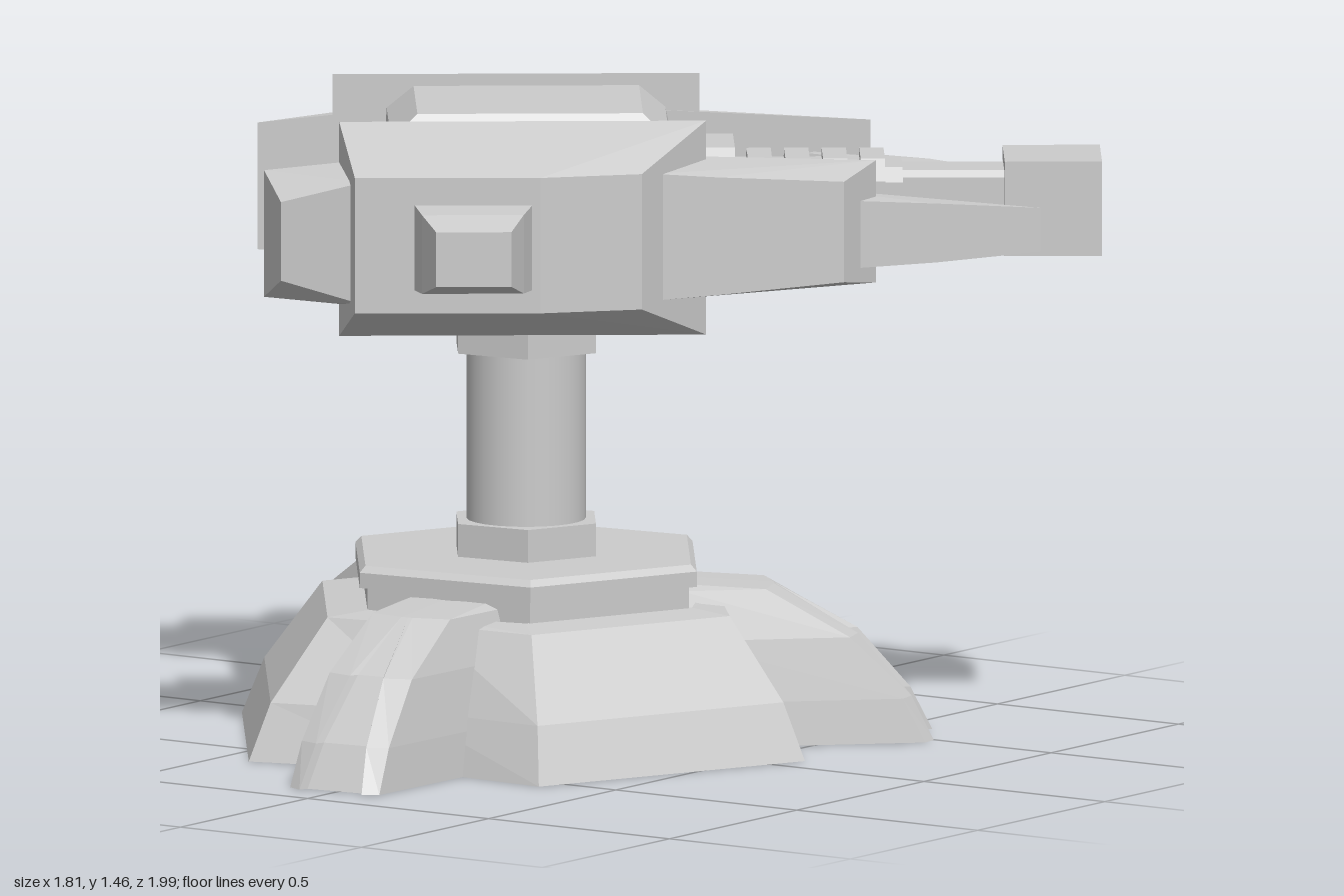
import * as THREE from 'three';
import { ConvexGeometry } from 'three/addons/geometries/ConvexGeometry.js';

const grey = new THREE.MeshStandardMaterial({ color: 0xcccccc, flatShading: true });
const smooth = new THREE.MeshStandardMaterial({ color: 0xcccccc });
const shellMat = new THREE.MeshStandardMaterial({ color: 0xcccccc, flatShading: true, side: THREE.DoubleSide });

function add(parent, name, geo, mat = grey) {
  const m = new THREE.Mesh(geo, mat);
  m.name = name;
  parent.add(m);
  return m;
}

// Convex solid from a few corner points
const hull = (pts) => new ConvexGeometry(pts.map((p) => new THREE.Vector3(...p)));

// Open sheet joining rows of points
function sheet(rows) {
  const n = rows[0].length, idx = [];
  for (let i = 0; i < rows.length - 1; i++)
    for (let j = 0; j < n - 1; j++) {
      const a = i * n + j, b = a + n;
      idx.push(a, a + 1, b, b, a + 1, b + 1);
    }
  const g = new THREE.BufferGeometry();
  g.setAttribute('position', new THREE.Float32BufferAttribute(rows.flat(2), 3));
  g.setIndex(idx);
  const flat = g.toNonIndexed();
  flat.computeVertexNormals();
  return flat;
}

// Plan outline points [x, z, yLow, yHigh] turned into vertical pairs
const pillars = (list) => list.flatMap(([x, z, lo, hi]) => [[x, lo, z], [x, hi, z]]);

// Block with chamfered long edges, running along z
function chamferBlock(w, h, c, z0, z1, y) {
  const pts = [];
  for (const z of [z0, z1])
    for (const sx of [-1, 1])
      for (const sy of [-1, 1])
        pts.push([sx * w, y + sy * (h - c), z], [sx * (w - c), y + sy * h, z]);
  return hull(pts);
}

function hexDrum(parent, name, rTop, rBottom, y0, y1) {
  const g = new THREE.CylinderGeometry(rTop, rBottom, y1 - y0, 6);
  g.rotateY(Math.PI / 6).translate(0, (y0 + y1) / 2, 0);
  return add(parent, name, g);
}

function buildBase() {
  const base = new THREE.Group();
  base.name = 'base';

  // Panel rows: y, face half width, face radius, flank half width, flank radius
  const panel = sheet([
    [0, 0.352, 0.635, 0.495, 0.25],
    [0.13, 0.325, 0.585, 0.465, 0.23],
    [0.315, 0.262, 0.455, 0.39, 0.2],
    [0.325, 0.22, 0.36, 0.35, 0.19],
  ].map(([y, w, r, fw, fr]) => [[-fw, y, fr], [-w, y, r], [w, y, r], [fw, y, fr]]));

  // Leg rows: radius, y, half width, groove half width; deep side walls run in to the panels
  const leg = sheet([
    [0.92, 0, 0.115, 0.07],
    [0.87, 0.1, 0.112, 0.055],
    [0.75, 0.24, 0.106, 0.033],
    [0.56, 0.35, 0.1, 0.004],
    [0.37, 0.362, 0.095, 0.002],
  ].map(([r, y, w, g], i) => {
    const d = i < 3 ? 0.02 : 0;
    const half = [[w + 0.13 * (r - 0.35), y, 0.35], [w, y, r - 0.02], [g + 0.01, y, r], [g, y, r - d]];
    return [...half.map(([x, yy, z]) => [-x, yy, z]), ...half.reverse()];
  }));

  for (let k = 0; k < 3; k++) {
    const a = (k * 2 * Math.PI) / 3;
    add(base, 'leg', leg, shellMat).rotation.y = a;
    add(base, 'basePanel', panel, shellMat).rotation.y = a + Math.PI / 3;
  }

  // Stacked hexagonal plates and the post
  hexDrum(base, 'lowerPlate', 0.42, 0.42, 0.315, 0.385);
  hexDrum(base, 'rimPlate', 0.44, 0.44, 0.375, 0.41);
  hexDrum(base, 'topPlate', 0.425, 0.44, 0.41, 0.425);
  hexDrum(base, 'lowerCollar', 0.18, 0.18, 0.42, 0.5);
  hexDrum(base, 'upperCollar', 0.18, 0.18, 0.89, 1.02);
  add(base, 'post', new THREE.CylinderGeometry(0.135, 0.135, 0.5, 24).translate(0, 0.7, 0), smooth);
  return base;
}

function buildGun() {
  const gun = new THREE.Group();
  gun.name = 'gun';

  // Central housing with chamfered top and bottom
  const pts = [];
  for (const [y, w, back, front] of [[1.455, 0.2, -0.25, 0.26], [1.4, 0.235, -0.31, 0.32],
    [1.22, 0.25, -0.32, 0.36], [1.03, 0.235, -0.31, 0.33], [0.98, 0.2, -0.26, 0.27]])
    for (const s of [-1, 1]) pts.push([s * w, y, back], [s * w, y, front]);
  add(gun, 'housing', hull(pts));
  add(gun, 'neck', chamferBlock(0.16, 0.15, 0.06, 0.3, 0.47, 1.21));
  add(gun, 'barrelBody', chamferBlock(0.11, 0.1, 0.03, 0.45, 0.85, 1.21));
  for (let i = 0; i < 4; i++) {
    const z = 0.5 + i * 0.085;
    add(gun, 'barrelRib', chamferBlock(0.125, 0.12, 0.045, z, z + 0.055, 1.21));
  }
  add(gun, 'barrelUnderside', new THREE.BoxGeometry(0.2, 0.06, 0.42).translate(0, 1.12, 0.64));
  add(gun, 'barrel', chamferBlock(0.075, 0.08, 0.015, 0.84, 1.1, 1.22));

  // Hollow muzzle
  const rect = (w, h, T) => new T([[-w, -h], [w, -h], [w, h], [-w, h]].map((p) => new THREE.Vector2(...p)));
  const frame = rect(0.12, 0.108, THREE.Shape);
  frame.holes.push(rect(0.09, 0.08, THREE.Path));
  add(gun, 'muzzle', new THREE.ExtrudeGeometry(frame, { depth: 0.22, bevelEnabled: false }).translate(0, 1.22, 1.08));
  add(gun, 'muzzleFloor', new THREE.BoxGeometry(0.19, 0.17, 0.1).translate(0, 1.22, 1.14));
  return gun;
}

// One side armour pod, s = +1 left, -1 right
function buildPod(s) {
  const pod = new THREE.Group();
  pod.name = s > 0 ? 'leftPod' : 'rightPod';
  const solid = (name, list) => add(pod, name, hull(pillars(list.map(([x, ...r]) => [s * x, ...r]))));

  solid('podBody', [
    [0.34, -0.43, 0.97, 1.46], [0.34, 0.4, 0.97, 1.46],
    [0.58, -0.4, 1.06, 1.37], [0.59, 0.02, 1.06, 1.37], [0.54, 0.25, 1.06, 1.37],
  ]);
  solid('podRearBlock', [
    [0.34, -0.4, 1.04, 1.37], [0.52, -0.38, 1.07, 1.35],
    [0.34, -0.6, 1.06, 1.35], [0.485, -0.565, 1.12, 1.3],
  ]);
  solid('podSideStub', [
    [0.55, -0.27, 1.11, 1.31], [0.55, 0.01, 1.11, 1.31],
    [0.68, -0.25, 1.12, 1.3], [0.68, -0.02, 1.12, 1.3],
    [0.77, -0.22, 1.15, 1.275], [0.77, -0.05, 1.15, 1.275],
  ]);
  solid('podForePlate', [
    [0.33, 0.25, 1.06, 1.38], [0.475, 0.28, 1.07, 1.36],
    [0.29, 0.785, 1.08, 1.36], [0.41, 0.71, 1.1, 1.33], [0.465, 0.42, 1.08, 1.35],
  ]);
  solid('podBlade', [
    [0.25, 0.64, 1.12, 1.29], [0.36, 0.68, 1.12, 1.28],
    [0.32, 0.92, 1.13, 1.265], [0.232, 1.16, 1.14, 1.24],
  ]);

  // Axle and bracket joining the pod to the housing
  const axle = new THREE.CylinderGeometry(0.07, 0.07, 0.16, 8).rotateZ(Math.PI / 2);
  add(pod, 'podAxle', axle.translate(s * 0.29, 1.21, 0));
  add(pod, 'podBracket', new THREE.BoxGeometry(0.05, 0.22, 0.3).translate(s * 0.325, 1.21, 0));
  return pod;
}

export function createModel() {
  const head = new THREE.Group();
  head.name = 'head';
  head.add(buildGun(), buildPod(1), buildPod(-1));
  head.position.x = 0.012;

  // The whole turret is turned toward its left
  const turret = new THREE.Group();
  turret.name = 'turret';
  turret.add(buildBase(), head);
  turret.position.set(0.015, 0, -0.11);
  turret.rotation.y = 0.635;
  return new THREE.Group().add(turret);
}
